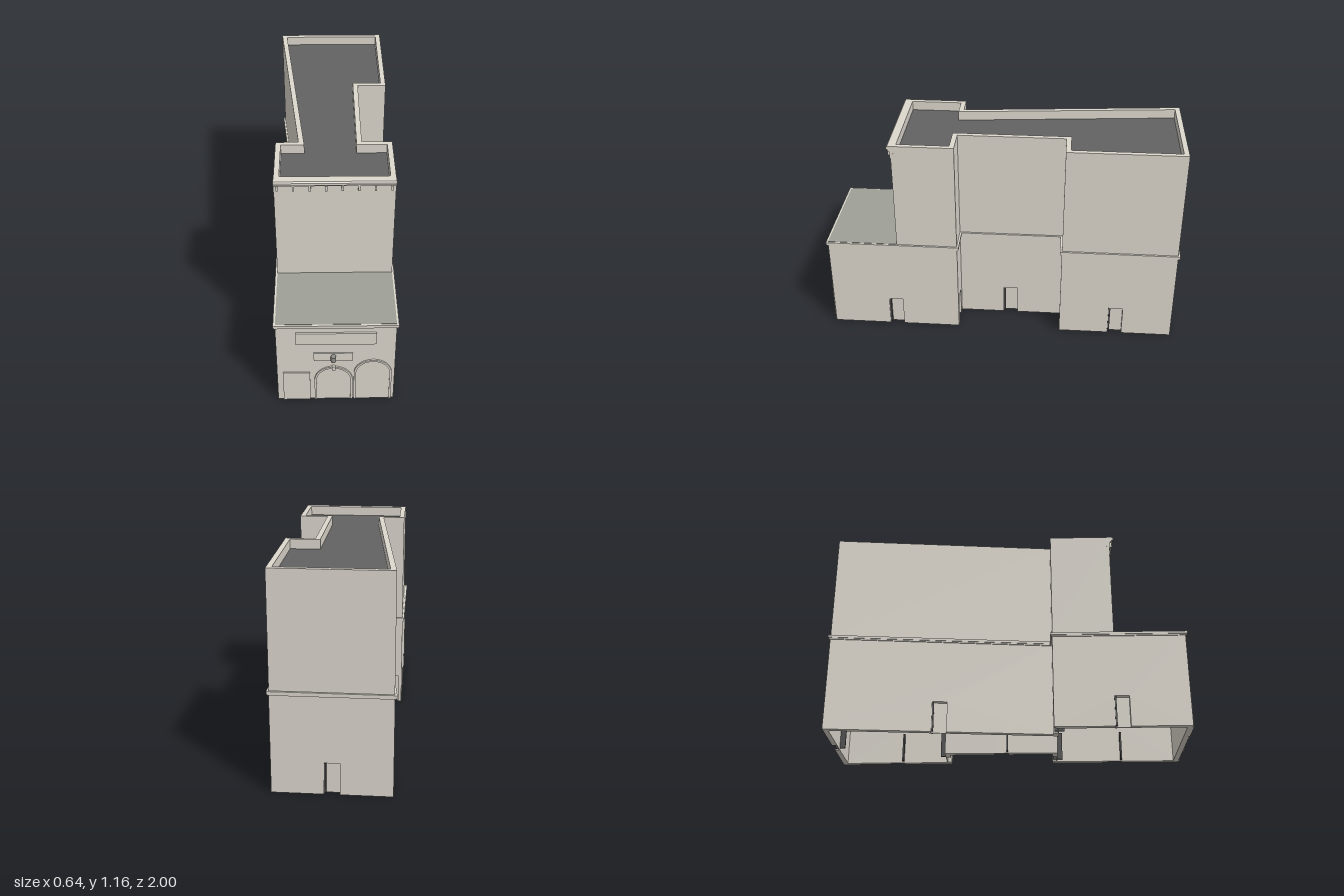
import * as THREE from 'three';

const mat = (name, color) => Object.assign(new THREE.MeshStandardMaterial({ color }), { name });

// Floor plans as [x, z], starting with the front edge; the long left wall is slanted.
const plan = (front) => [
  [-0.307, front], [0.307, front], [0.307, 0.235], [0.147, 0.235], [0.147, -0.35],
  [0.307, -0.35], [0.307, -0.99], [-0.307, -0.99], [-0.187, 0.235], [-0.307, 0.235],
];
const FRONT = 0.965, UPPER_FRONT = 0.575, WALL = 0.028;
const DOOR_W = 0.08, DOOR_H = 0.172;

// Moves every edge of a plan outward by e (inward if negative).
function offset(poly, e) {
  const n = poly.length;
  const normal = (i) => {
    const a = poly[i], b = poly[(i + 1) % n];
    const l = Math.hypot(b[0] - a[0], b[1] - a[1]);
    return [-(b[1] - a[1]) / l, (b[0] - a[0]) / l];
  };
  return poly.map((p, i) => {
    const u = normal((i + n - 1) % n), v = normal(i);
    const k = e / (1 + u[0] * v[0] + u[1] * v[1]);
    return [p[0] + k * (u[0] + v[0]), p[1] + k * (u[1] + v[1])];
  });
}

export function createModel() {
  const group = new THREE.Group();
  group.name = 'building';
  const stone = mat('stone', 0xddd8ce);
  const roofDark = mat('dark roof', 0x626262);
  const terraceGrey = mat('terrace grey', 0x9fa198);
  const metal = mat('lamp grey', 0x8e8e8a);
  const doorDark = mat('dark door', 0x505050);

  const add = (name, geo, material, x = 0, y = 0, z = 0, parent = group) => {
    const m = new THREE.Mesh(geo, material);
    m.name = name;
    m.position.set(x, y, z);
    parent.add(m);
    return m;
  };
  const box = (name, w, h, d, x, y, z, material = stone, parent = group) =>
    add(name, new THREE.BoxGeometry(w, h, d), material, x, y, z, parent);

  // Ring of mitred walls following a plan, optionally with a doorway in each wall.
  function walls(name, poly, y0, y1, t, doors = false) {
    const inner = offset(poly, -t), n = poly.length;
    const ring = new THREE.Group();
    ring.name = name;
    group.add(ring);
    poly.forEach((a, i) => {
      const j = (i + 1) % n, b = poly[j];
      const L = Math.hypot(b[0] - a[0], b[1] - a[1]);
      const hasDoor = doors && i > 0;
      const l = (L - DOOR_W) / 2, r = (L + DOOR_W) / 2;
      const s = new THREE.Shape();
      s.moveTo(0, 0);
      if (hasDoor) {
        s.lineTo(l, 0); s.lineTo(l, DOOR_H); s.lineTo(r, DOOR_H); s.lineTo(r, 0);
      }
      s.lineTo(L, 0); s.lineTo(L, y1 - y0); s.lineTo(0, y1 - y0);
      const geo = new THREE.ExtrudeGeometry(s, { depth: t, bevelEnabled: false });
      geo.translate(0, 0, -t);
      // Mitre the inner ends so neighbouring walls meet.
      const pos = geo.attributes.position;
      const d = [(b[0] - a[0]) / L, (b[1] - a[1]) / L];
      const along = (p) => (p[0] - a[0]) * d[0] + (p[1] - a[1]) * d[1];
      for (let k = 0; k < pos.count; k++) {
        if (pos.getZ(k) > -t / 2) continue;
        if (pos.getX(k) < 1e-5) pos.setX(k, along(inner[i]));
        else if (pos.getX(k) > L - 1e-5) pos.setX(k, along(inner[j]));
      }
      const side = new THREE.Group();
      side.name = name + 'Side';
      side.position.set(a[0], y0, a[1]);
      side.rotation.y = Math.atan2(-d[1], d[0]);
      ring.add(side);
      add('wall', geo, stone, 0, 0, 0, side);
      if (hasDoor) {
        // Closed recess with a dark leaf standing open along its left jamb
        box('recessBack', DOOR_W, DOOR_H, 0.004, L / 2, DOOR_H / 2, -t + 0.002, stone, side);
        box('doorLeaf', 0.009, 0.16, 0.055, l + 0.0055, 0.088, -0.031, doorDark, side);
      }
    });
  }

  // Flat slab filling a plan.
  function slab(name, poly, y0, y1, material) {
    const s = new THREE.Shape(poly.map(([x, z]) => new THREE.Vector2(x, -z)));
    const geo = new THREE.ExtrudeGeometry(s, { depth: y1 - y0, bevelEnabled: false });
    geo.rotateX(-Math.PI / 2);
    add(name, geo, material, 0, y0, 0);
  }

  // Storeys, string course and roofs
  const lower = plan(FRONT), upper = plan(UPPER_FRONT);
  walls('lowerStorey', lower, 0, 0.535, WALL, true);
  walls('stringCourse', offset(lower, 0.006), 0.525, 0.533, 0.012);
  walls('stringCourseCap', offset(lower, 0.01), 0.533, 0.547, 0.018);
  slab('terrace', offset(lower, -0.001), 0.528, 0.549, terraceGrey);
  walls('upperStorey', offset(upper, -0.001), 0.535, 1.16, WALL);
  slab('mainRoof', offset(upper, -0.02), 1.095, 1.108, roofDark);

  // Front crowning cornice with brackets
  const profile = [
    [0.56, 1.09], [0.579, 1.09], [0.579, 1.13], [0.588, 1.13], [0.588, 1.141],
    [0.597, 1.141], [0.597, 1.153], [0.59, 1.16], [0.56, 1.16],
  ];
  const cornice = new THREE.ExtrudeGeometry(
    new THREE.Shape(profile.map((p) => new THREE.Vector2(...p))), { depth: 0.614, bevelEnabled: false });
  cornice.rotateY(-Math.PI / 2);
  add('frontCornice', cornice, stone, 0.307, 0, 0);
  for (let i = 0; i < 8; i++) box('bracket', 0.011, 0.03, 0.014, -0.29 + i * 0.0823, 1.115, 0.583);

  // Sign panels and hanging lamp
  box('signPanel', 0.41, 0.078, 0.02, 0, 0.454, FRONT);
  box('smallPanel', 0.203, 0.055, 0.012, -0.013, 0.32, FRONT);
  box('lampArm', 0.008, 0.008, 0.02, -0.013, 0.322, FRONT + 0.01, metal);
  add('lamp', new THREE.CylinderGeometry(0.014, 0.014, 0.035, 16), metal, -0.013, 0.322, 0.985);

  // Ground floor openings
  box('shopPanel', 0.142, 0.205, 0.014, -0.206, 0.1025, FRONT);
  const extrude = (shape, depth) =>
    new THREE.ExtrudeGeometry(shape, { depth, bevelEnabled: false, curveSegments: 16 });
  const archway = (x, r, spring) => {
    // Raised surround, open at the foot
    const R = r + 0.011;
    const s = new THREE.Shape();
    s.moveTo(r, 0); s.lineTo(R, 0); s.lineTo(R, spring);
    s.absarc(0, spring, R, 0, Math.PI, false);
    s.lineTo(-R, 0); s.lineTo(-r, 0); s.lineTo(-r, spring);
    s.absarc(0, spring, r, Math.PI, 0, true);
    s.lineTo(r, 0);
    add('archSurround', extrude(s, 0.008), stone, x, 0, FRONT);
    // Infill panel
    const p = new THREE.Shape();
    p.moveTo(-r, 0); p.lineTo(r, 0); p.lineTo(r, spring);
    p.absarc(0, spring, r, 0, Math.PI, false);
    p.lineTo(-r, 0);
    add('archPanel', extrude(p, 0.003), stone, x, 0, FRONT);
  };
  archway(-0.012, 0.089, 0.147);
  archway(0.193, 0.088, 0.196);
  box('keystone', 0.017, 0.026, 0.014, -0.012, 0.242, FRONT + 0.007);

  return group;
}
